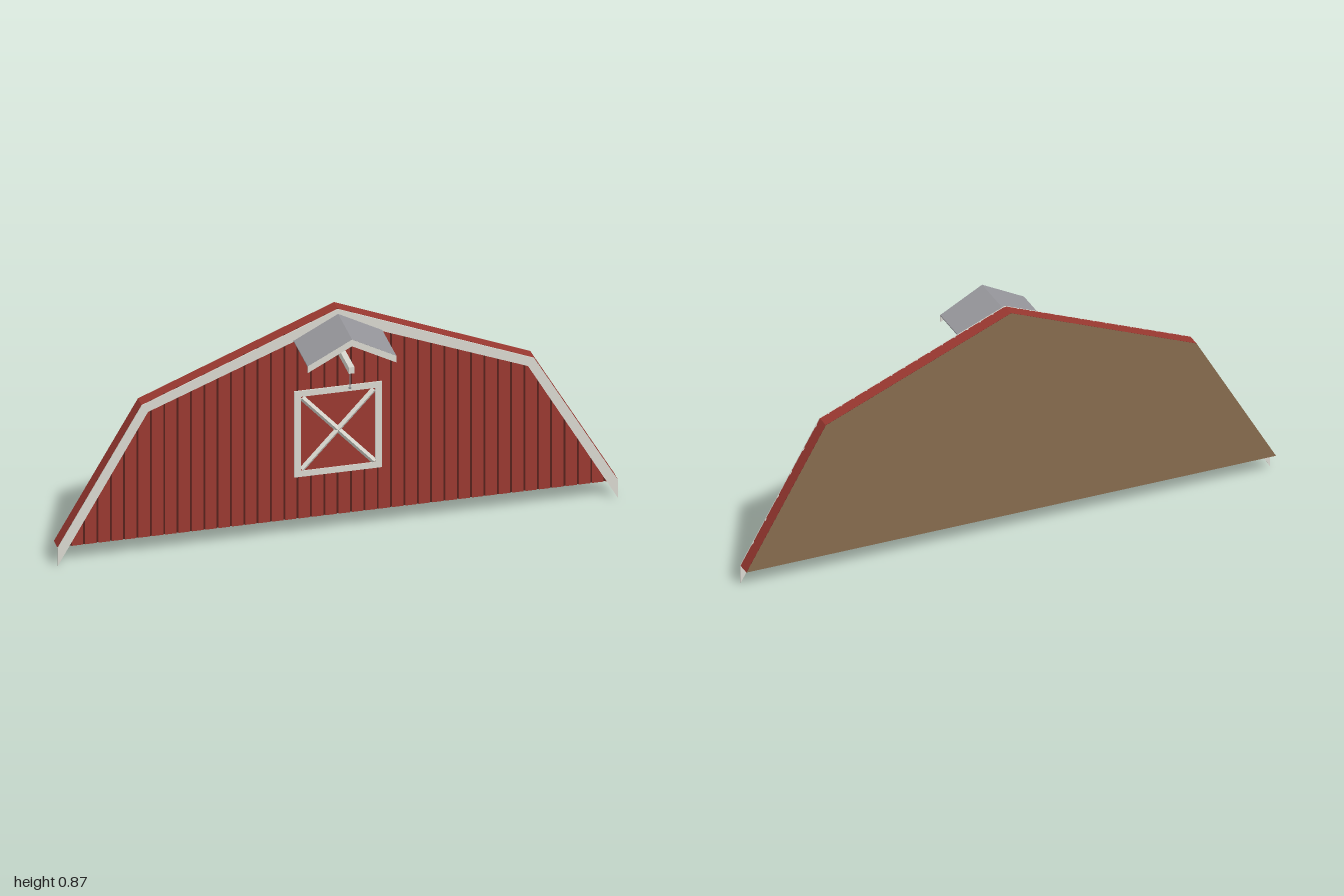
import * as THREE from 'three';

const material = (name, color) => new THREE.MeshStandardMaterial({ name, color });

export function createModel() {
  const red = material('barn red', 0x9a3830);
  const groove = material('groove dark red', 0x55201b);
  const white = material('trim off-white', 0xd8d7cf);
  const brown = material('bare wood', 0x866a4d);
  const roofGrey = material('roof grey', 0x98989d);
  const metal = material('hook metal', 0x85868a);

  const model = new THREE.Group();
  model.name = 'barnGable';

  const add = (name, geometry, mat, parent = model) => {
    const mesh = new THREE.Mesh(geometry, mat);
    mesh.name = name;
    parent.add(mesh);
    return mesh;
  };
  const group = (name) => {
    const g = new THREE.Group();
    g.name = name;
    model.add(g);
    return g;
  };
  const shape = (pts) => new THREE.Shape(pts.map(([x, y]) => new THREE.Vector2(x, y)));
  // Prism between two depths
  const slab = (pts, z0, z1) =>
    new THREE.ExtrudeGeometry(shape(pts), { depth: z1 - z0, bevelEnabled: false }).translate(0, 0, z0);
  const box = (w, h, d, x, y, z) => new THREE.BoxGeometry(w, h, d).translate(x, y, z);

  // Gambrel outline, left foot over the ridge to the right foot
  const base = 0.07;
  const outline = [[-1, base], [-0.7, 0.588], [0, 0.872], [0.7, 0.588], [1, base]];
  const heightAt = (x) => {
    const a = Math.abs(x);
    return a < 0.7 ? 0.872 - (a / 0.7) * 0.284 : 0.588 - ((a - 0.7) / 0.3) * (0.588 - base);
  };

  // Wall core: its front shows only at the bottom of the grooves
  const back = -0.124, front = -0.073, floor = -0.077;
  add('wallCore', slab(outline, back, floor), [groove, red]);
  add('wallBack', new THREE.ShapeGeometry(shape(outline)).rotateY(Math.PI).translate(0, 0, back - 0.0006), brown);

  // Vertical siding boards cut to the outline
  const siding = group('siding');
  const count = 42, pitch = 2 / count, gap = 0.007;
  for (let i = 0; i < count; i++) {
    const x0 = i === 0 ? -1 : -1 + i * pitch + gap / 2;
    const x1 = i === count - 1 ? 1 : -1 + (i + 1) * pitch - gap / 2;
    const knees = outline.filter(([x]) => x > x0 + 1e-4 && x < x1 - 1e-4);
    const top = [[x0, heightAt(x0)], ...knees, [x1, heightAt(x1)]];
    const pts = [...top];
    if (i < count - 1) pts.push([x1, base]);
    if (i > 0) pts.push([x0, base]);
    add('board', slab(pts, floor, front), red, siding);
  }

  // Rake trim along the roof line, hanging below the wall at both feet
  add('rakeTrim', slab([
    ...outline, [1, 0], [0.678, 0.56], [0, 0.828], [-0.678, 0.56], [-1, 0],
  ], front, -0.069), white);

  // Loft door: panel, frame and crossed braces
  const door = group('loftDoor');
  const hw = 0.156, y0 = 0.234, y1 = 0.57, f = 0.023;
  const midY = (y0 + y1) / 2, frameZ = -0.0708, frameD = 0.0046;
  add('doorPanel', box(2 * hw - 0.01, y1 - y0 - 0.01, 0.0015, 0, midY, -0.0725), red, door);
  for (const s of [-1, 1]) {
    add('doorStile', box(f, y1 - y0, frameD, s * (hw - f / 2), midY, frameZ), white, door);
    add('doorRail', box(2 * (hw - f), f, frameD, 0, midY + s * ((y1 - y0) / 2 - f / 2), frameZ), white, door);
  }
  const bx = hw - f, by = (y1 - y0) / 2 - f;
  const length = 2 * Math.hypot(bx, by) - 0.014;
  for (const s of [-1, 1]) {
    // Ridged bar, triangular in section
    const brace = new THREE.ExtrudeGeometry(shape([[-0.0105, 0], [0.0105, 0], [0, 0.0105]]),
      { depth: length, bevelEnabled: false });
    brace.translate(0, 0, -length / 2).rotateX(Math.PI / 2).rotateY(Math.PI);
    brace.computeBoundingBox();
    if (brace.boundingBox.max.z < 0.005) brace.rotateY(Math.PI);
    brace.rotateZ(s * Math.atan2(bx, by)).translate(0, midY, -0.072);
    add('doorBrace', brace, white, door);
  }

  // Hoist hood: thin folded roof with a fascia at its front
  const hood = group('hoistHood');
  const ridge = 0.854, eave = 0.77, half = 0.158;
  const chevron = (top, drop) => [
    [-half, eave + top], [0, ridge + top], [half, eave + top],
    [half, eave - drop], [0, ridge - drop], [-half, eave - drop],
  ];
  add('hoodRoof', slab(chevron(0, 0.004), front, 0.125), roofGrey, hood);
  add('hoodFascia', slab(chevron(-0.001, 0.027), 0.122, 0.1254), white, hood);

  // Hoist beam with hanging hook
  add('hoistBeam', box(0.02, 0.025, 0.193, 0, 0.73, 0.0235), white);
  const hook = group('hoistHook');
  hook.position.z = 0.095;
  add('hookPlate', box(0.012, 0.004, 0.014, 0, 0.7155, 0), metal, hook);
  add('hookRod', new THREE.CylinderGeometry(0.002, 0.002, 0.066, 8).translate(0, 0.682, 0), metal, hook);
  add('hookEnd', box(0.008, 0.004, 0.008, 0, 0.649, 0), metal, hook);

  return model;
}
